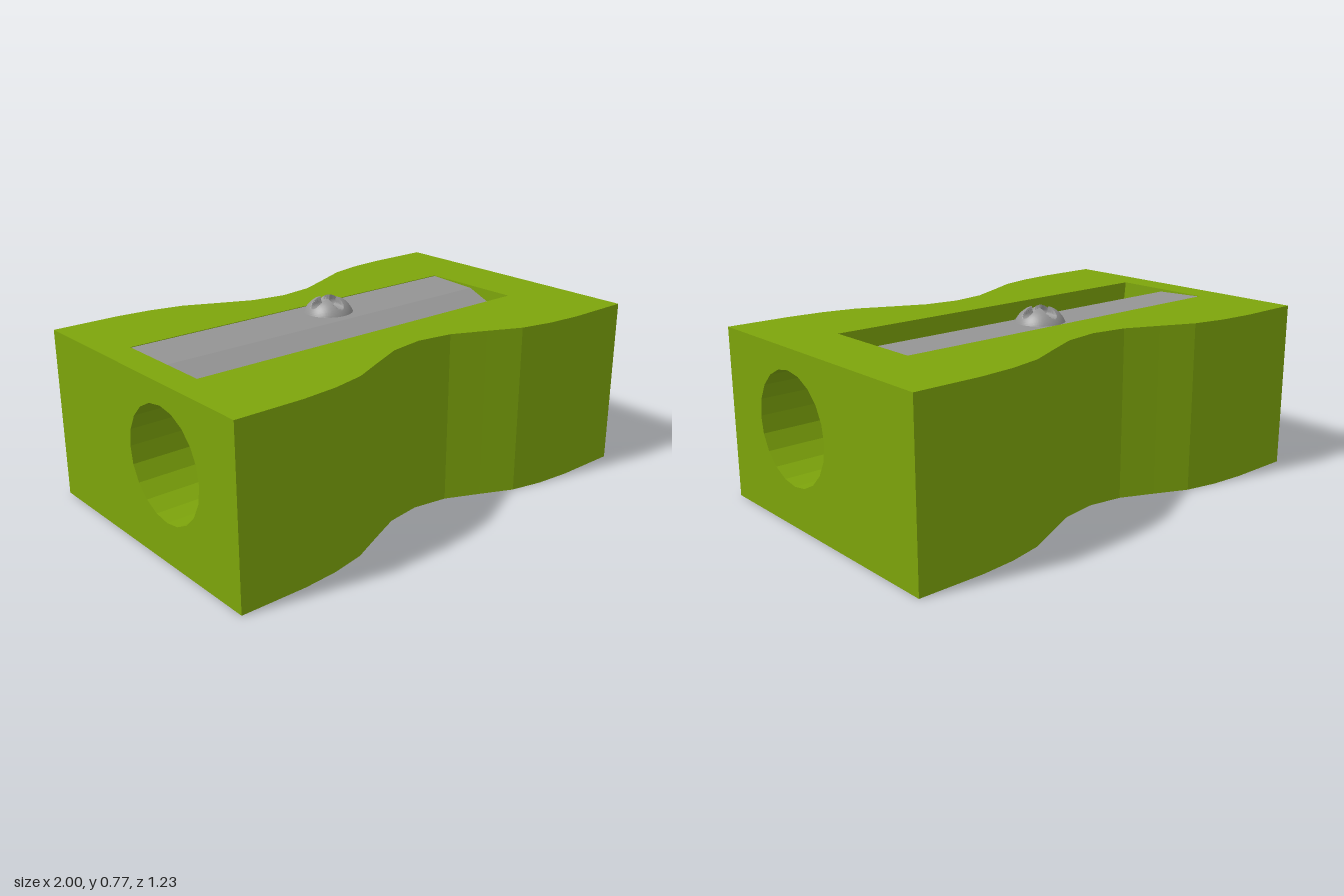
import * as THREE from 'three';

const H = 0.715;                                  // body height
const W = 0.617;                                  // half depth at the ends
const BORE = { z: 0.164, y: 0.399, r: 0.229, n: 20 };
const POCKET = { x0: -0.88, x1: 0.74, z0: -0.23, z1: 0.225 };
const BORE_TOP = BORE.y + BORE.r;

const green = new THREE.MeshStandardMaterial({ color: 0x7da40b, flatShading: true, side: THREE.DoubleSide });
const steel = new THREE.MeshStandardMaterial({ color: 0x949494, flatShading: true, side: THREE.DoubleSide });

function add(group, name, geometry, material) {
  const mesh = new THREE.Mesh(geometry, material);
  mesh.name = name;
  group.add(mesh);
  return mesh;
}

// Flat four-cornered faces, corners counter-clockwise from the front
function quads(list) {
  const pos = [];
  for (const [a, b, c, d] of list) pos.push(...a, ...b, ...c, ...a, ...c, ...d);
  const g = new THREE.BufferGeometry();
  g.setAttribute('position', new THREE.Float32BufferAttribute(pos, 3));
  g.computeVertexNormals();
  return g;
}

// Waisted plan outline, counter-clockwise in (x, y)
function outline() {
  const half = [[1, W], [0.72, W], [0.57, 0.604], [0.43, 0.574], [0.29, 0.509], [0.15, 0.446]];
  const edge = [...half, [0, 0.423], ...half.map(([x, z]) => [-x, z]).reverse()];
  return [...edge, ...edge.map(([x, z]) => [-x, -z])].map(([x, z]) => new THREE.Vector2(x, z));
}

function createBody() {
  const body = new THREE.Group();
  body.name = 'body';
  const pts = outline();
  const { x0, x1, z0, z1 } = POCKET;

  // Top with the blade pocket cut out, and the plain bottom
  const topShape = new THREE.Shape(pts);
  topShape.holes.push(new THREE.Path([[x0, -z0], [x1, -z0], [x1, -z1], [x0, -z1]].map(p => new THREE.Vector2(...p))));
  add(body, 'top', new THREE.ShapeGeometry(topShape).rotateX(-Math.PI / 2).translate(0, H, 0), green);
  add(body, 'bottom', new THREE.ShapeGeometry(new THREE.Shape(pts)).rotateX(Math.PI / 2), green);

  // Curved grip sides (the flat ends are separate)
  const sides = [];
  pts.forEach((p, i) => {
    const q = pts[(i + 1) % pts.length];
    if (Math.abs(p.x - q.x) < 1e-6) return;
    sides.push([[p.x, 0, p.y], [p.x, H, p.y], [q.x, H, q.y], [q.x, 0, q.y]]);
  });
  add(body, 'gripSides', quads(sides), green);

  // Ends with the round pencil opening
  for (const s of [-1, 1]) {
    const end = new THREE.Shape([[-W, 0], [W, 0], [W, H], [-W, H]].map(p => new THREE.Vector2(...p)));
    const ring = [];
    for (let i = 0; i < BORE.n; i++) {
      const a = (i / BORE.n) * Math.PI * 2;
      ring.push(new THREE.Vector2(-s * BORE.z + BORE.r * Math.cos(a), BORE.y + BORE.r * Math.sin(a)));
    }
    end.holes.push(new THREE.Path(ring));
    add(body, s > 0 ? 'leftEnd' : 'rightEnd',
      new THREE.ShapeGeometry(end).rotateY(s * Math.PI / 2).translate(s, 0, 0), green);
  }

  // Bore: one facet is left open along the pocket so shavings can escape
  const step = (Math.PI * 2) / BORE.n;
  const bore = (a, b, start, n) => add(body, 'pencilBore',
    new THREE.CylinderGeometry(BORE.r, BORE.r, b - a, n, 1, true, start, n * step)
      .rotateZ(Math.PI / 2).translate((a + b) / 2, BORE.y, BORE.z), green);
  bore(-1, 1, Math.PI / 2, BORE.n - 1);
  bore(-1, x0, Math.PI / 2 - step, 1);
  bore(x1, 1, Math.PI / 2 - step, 1);

  // Pocket walls and the floor below the blade
  const lipZ = BORE.z + BORE.r * Math.sin(step), lipY = BORE.y + BORE.r * Math.cos(step);
  const f = BORE_TOP, m = BORE.z;
  add(body, 'pocketWalls', quads([
    [[x0, H, z1], [x1, H, z1], [x1, lipY, lipZ], [x0, lipY, lipZ]],
    [[x0, f, z0], [x1, f, z0], [x1, H, z0], [x0, H, z0]],
    [[x0, lipY, lipZ], [x0, f, m], [x0, H, m], [x0, H, z1]],
    [[x0, f, m], [x0, f, z0], [x0, H, z0], [x0, H, m]],
    [[x1, f, m], [x1, lipY, lipZ], [x1, H, z1], [x1, H, m]],
    [[x1, f, z0], [x1, f, m], [x1, H, m], [x1, H, z0]],
    [[x0, f, m], [x1, f, m], [x1, f, z0], [x0, f, z0]],
  ]), green);
  return body;
}

// Blade: flat back part and a bevel falling to the cutting edge
function bladeGeometry() {
  const e = 0.001;
  const section = new THREE.Shape([[POCKET.z0 + e, 0.634], [0.16, 0.634], [0.16, 0.64], [0, 0.703], [POCKET.z0 + e, 0.713]]
    .map(p => new THREE.Vector2(...p)));
  return new THREE.ExtrudeGeometry(section, { depth: POCKET.x1 - POCKET.x0 - 2 * e, bevelEnabled: false })
    .rotateY(-Math.PI / 2).translate(POCKET.x1 - e, 0, 0);
}

// Domed screw head with round-bottomed cross slots
function screwGeometry() {
  const r = 0.103, h = 0.067, slot = 0.022, slotY = 0.046;
  const R = (r * r + h * h) / (2 * h);
  const g = new THREE.RingGeometry(0, r, 120, 32).rotateX(-Math.PI / 2);
  const p = g.attributes.position;
  for (let i = 0; i < p.count; i++) {
    const x = p.getX(i), z = p.getZ(i);
    let y = Math.sqrt(R * R - x * x - z * z) - (R - h);
    for (const d of [x, z]) {
      if (Math.abs(d) < slot) y = Math.min(y, slotY - Math.sqrt(slot * slot - d * d));
    }
    p.setY(i, y);
  }
  g.computeVertexNormals();
  return g;
}

export function createModel() {
  const model = new THREE.Group();
  model.name = 'pencilSharpener';
  model.add(createBody());
  add(model, 'blade', bladeGeometry(), steel);
  add(model, 'screwHead', screwGeometry(), steel).position.set(0, 0.712, -0.12);
  return model;
}
